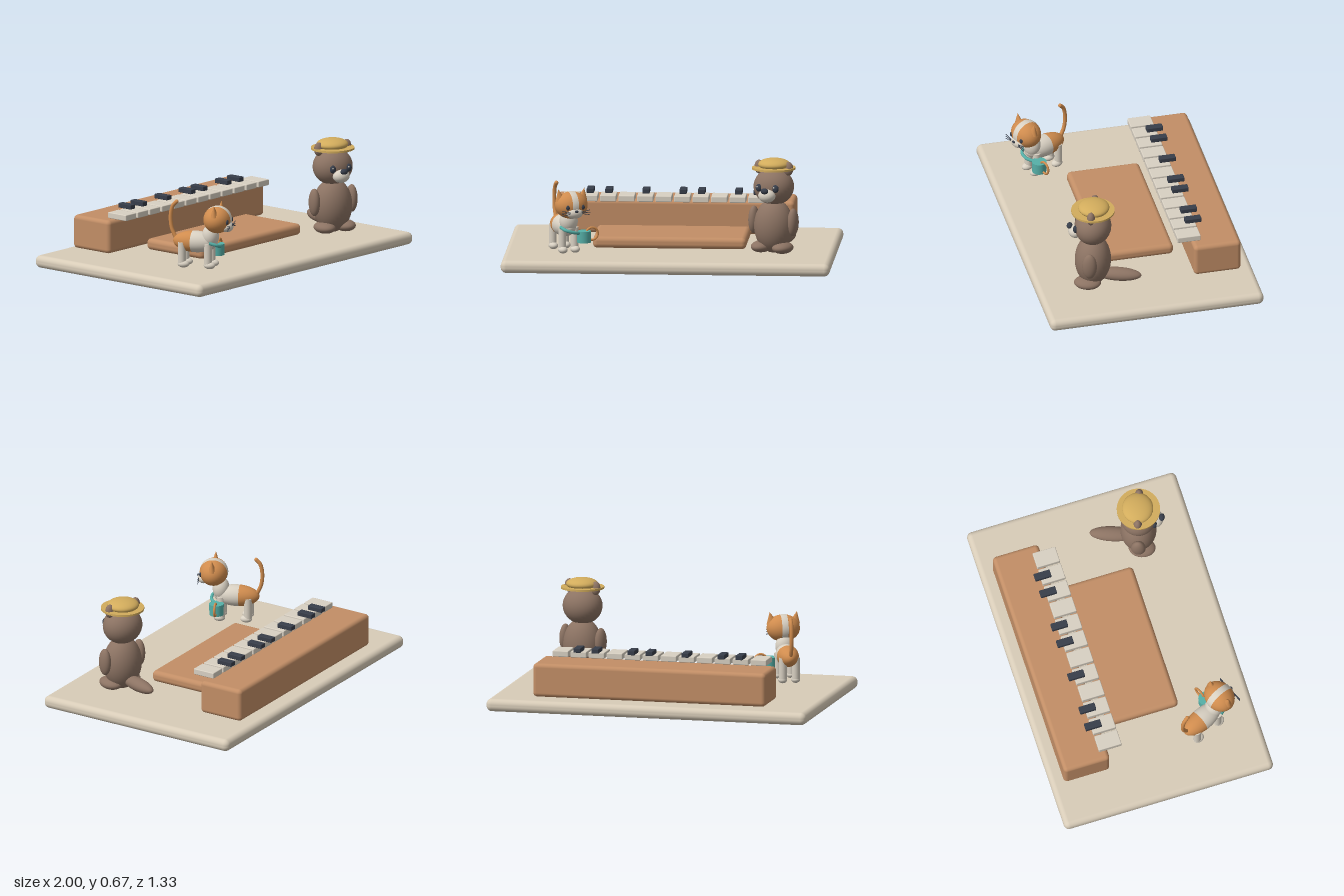
import * as THREE from 'three';
import { RoundedBoxGeometry } from 'three/addons/geometries/RoundedBoxGeometry.js';

const mat = (name, color) => {
  const m = new THREE.MeshStandardMaterial({ color });
  m.name = name;
  return m;
};
const M = {
  base: mat('sand', 0xd8ccb8),
  wood: mat('wood', 0xc28e66),
  cream: mat('cream', 0xd8d0c2),
  dark: mat('charcoal', 0x383e4a),
  fur: mat('brown fur', 0x8c7363),
  straw: mat('straw', 0xd2ac5c),
  orange: mat('orange fur', 0xd08c4e),
  teal: mat('teal', 0x56b0a8),
};

function add(parent, name, geo, material, pos = [0, 0, 0], scale = [1, 1, 1], rot = [0, 0, 0]) {
  const mesh = new THREE.Mesh(geo, material);
  mesh.name = name;
  mesh.position.set(...pos);
  mesh.scale.set(...scale);
  mesh.rotation.set(...rot);
  parent.add(mesh);
  return mesh;
}

const sphere = new THREE.SphereGeometry(1, 32, 24);
const ball = (parent, name, material, pos, radii, rot) => add(parent, name, sphere, material, pos, radii, rot);

function box(parent, name, material, [x0, x1], [y0, y1], [z0, z1], r) {
  return add(parent, name, new RoundedBoxGeometry(x1 - x0, y1 - y0, z1 - z0, 4, r), material,
    [(x0 + x1) / 2, (y0 + y1) / 2, (z0 + z1) / 2]);
}

function tube(parent, name, material, points, radius) {
  const curve = new THREE.CatmullRomCurve3(points.map((p) => new THREE.Vector3(...p)));
  add(parent, name, new THREE.TubeGeometry(curve, 32, radius, 10), material);
  ball(parent, name + 'Tip', material, points[points.length - 1], [radius, radius, radius]);
}

function keyboard() {
  const g = new THREE.Group();
  g.name = 'keyboard';
  box(g, 'keyboardBody', M.wood, [-0.73, 0.725], [0.09, 0.295], [-0.585, -0.293], 0.025);
  const keyX = (i) => -0.628 + i * 0.1126;
  for (let i = 0; i < 12; i++) {
    box(g, 'whiteKey', M.cream, [keyX(i) - 0.049, keyX(i) + 0.049], [0.299, 0.336], [-0.348, -0.204], 0.005);
  }
  for (const i of [1, 2, 4, 6, 7, 9, 10]) {
    box(g, 'blackKey', M.dark, [keyX(i) - 0.022, keyX(i) + 0.022], [0.336, 0.364], [-0.386, -0.285], 0.004);
  }
  return g;
}

function bear() {
  const g = new THREE.Group();
  g.name = 'bear';
  g.position.set(0.64, 0, 0.32);
  g.rotation.y = -0.35;
  ball(g, 'body', M.fur, [0, 0.255, 0], [0.122, 0.165, 0.11]);
  ball(g, 'head', M.fur, [0, 0.497, 0], [0.125, 0.113, 0.112]);
  ball(g, 'tail', M.fur, [0, 0.158, -0.155], [0.047, 0.04, 0.142]);
  ball(g, 'muzzle', M.cream, [0, 0.455, 0.105], [0.054, 0.042, 0.046]);
  ball(g, 'nose', M.dark, [0, 0.488, 0.142], [0.024, 0.018, 0.018]);
  for (const s of [-1, 1]) {
    ball(g, 'arm', M.fur, [s * 0.13, 0.285, 0.005], [0.032, 0.085, 0.045]);
    ball(g, 'foot', M.fur, [s * 0.07, 0.128, 0.025], [0.062, 0.036, 0.082]);
    ball(g, 'ear', M.fur, [s * 0.097, 0.612, 0], [0.03, 0.042, 0.025]);
    ball(g, 'eye', M.dark, [s * 0.055, 0.5, 0.1], [0.02, 0.024, 0.015]);
    ball(g, 'eyeGlint', M.cream, [s * 0.055 - 0.006, 0.508, 0.113], [0.005, 0.005, 0.004]);
  }
  // straw hat
  add(g, 'hatBrim', new THREE.CylinderGeometry(0.132, 0.132, 0.012, 40), M.straw, [0, 0.61, 0]);
  ball(g, 'hatCrown', M.straw, [0, 0.632, -0.005], [0.098, 0.038, 0.095]);
  return g;
}

function cat() {
  const g = new THREE.Group();
  g.name = 'cat';
  g.position.set(-0.64, 0, 0.32);
  g.rotation.y = 0.42;

  // body: orange back half, cream front half, poles along z
  const split = 1.7;
  add(g, 'chest', new THREE.SphereGeometry(1, 32, 16, 0, Math.PI * 2, 0, split), M.cream,
    [0, 0.245, 0], [0.068, 0.14, 0.066], [Math.PI / 2, 0, 0]);
  add(g, 'hindBody', new THREE.SphereGeometry(1, 32, 16, 0, Math.PI * 2, split, Math.PI - split), M.orange,
    [0, 0.245, 0], [0.068, 0.14, 0.066], [Math.PI / 2, 0, 0]);
  ball(g, 'neck', M.cream, [0, 0.285, 0.095], [0.056, 0.07, 0.052]);

  // legs and paws
  const leg = new THREE.CylinderGeometry(0.024, 0.024, 0.14, 20);
  for (const s of [-1, 1]) {
    for (const z of [-0.075, 0.09]) {
      add(g, 'leg', leg, M.cream, [s * 0.04, 0.175, z]);
      ball(g, 'paw', M.cream, [s * 0.04, 0.11, z + 0.01], [0.028, 0.022, 0.036]);
    }
  }

  // head with a cream blaze running over it
  const head = new THREE.Group();
  head.name = 'head';
  head.position.set(0, 0.39, 0.14);
  g.add(head);
  const radii = [0.102, 0.083, 0.086];
  ball(head, 'skull', M.orange, [0, 0, 0], radii);
  const band = new THREE.SphereGeometry(1.015, 48, 8, 0, Math.PI * 2, Math.PI / 2 - 0.19, 0.38);
  band.rotateZ(Math.PI / 2);
  add(head, 'blaze', band, M.cream, [0, 0, 0], radii);
  ball(head, 'muzzle', M.cream, [0, -0.04, 0.06], [0.052, 0.034, 0.038]);
  ball(head, 'nose', M.dark, [0, -0.026, 0.095], [0.011, 0.008, 0.007]);
  const whisker = new THREE.CylinderGeometry(0.002, 0.002, 0.055, 6);
  for (const s of [-1, 1]) {
    add(head, 'ear', new THREE.ConeGeometry(0.033, 0.07, 24), M.orange,
      [s * 0.077, 0.067, 0], [1, 1, 0.7], [0, 0, -s * 0.2]);
    ball(head, 'eye', M.dark, [s * 0.048, -0.004, 0.074], [0.012, 0.015, 0.009]);
    for (const k of [-1, 0, 1]) {
      add(head, 'whisker', whisker, M.dark, [s * 0.063, -0.036 + k * 0.01, 0.086], [1, 1, 1],
        [0, 0, Math.PI / 2 + s * k * 0.2]);
    }
  }

  tube(g, 'tail', M.orange, [[0, 0.245, -0.115], [0, 0.32, -0.15], [0, 0.4, -0.157],
    [0, 0.46, -0.143], [0, 0.485, -0.12]], 0.012);

  // mug hanging from a strap
  tube(g, 'strap', M.teal, [[-0.055, 0.25, 0.1], [-0.035, 0.235, 0.145], [0.015, 0.22, 0.152],
    [0.06, 0.21, 0.125]], 0.01);
  add(g, 'mug', new THREE.CylinderGeometry(0.045, 0.043, 0.07, 32), M.teal, [0.092, 0.185, 0.11]);
  add(g, 'mugHandle', new THREE.TorusGeometry(0.038, 0.007, 12, 32), M.orange, [0.145, 0.2, 0.11]);
  return g;
}

export function createModel() {
  const model = new THREE.Group();
  model.name = 'musicScene';
  box(model, 'base', M.base, [-1, 1], [0, 0.077], [-0.665, 0.665], 0.034);
  box(model, 'bench', M.wood, [-0.468, 0.465], [0.086, 0.156], [-0.226, 0.226], 0.028);
  model.add(keyboard(), bear(), cat());
  return model;
}
